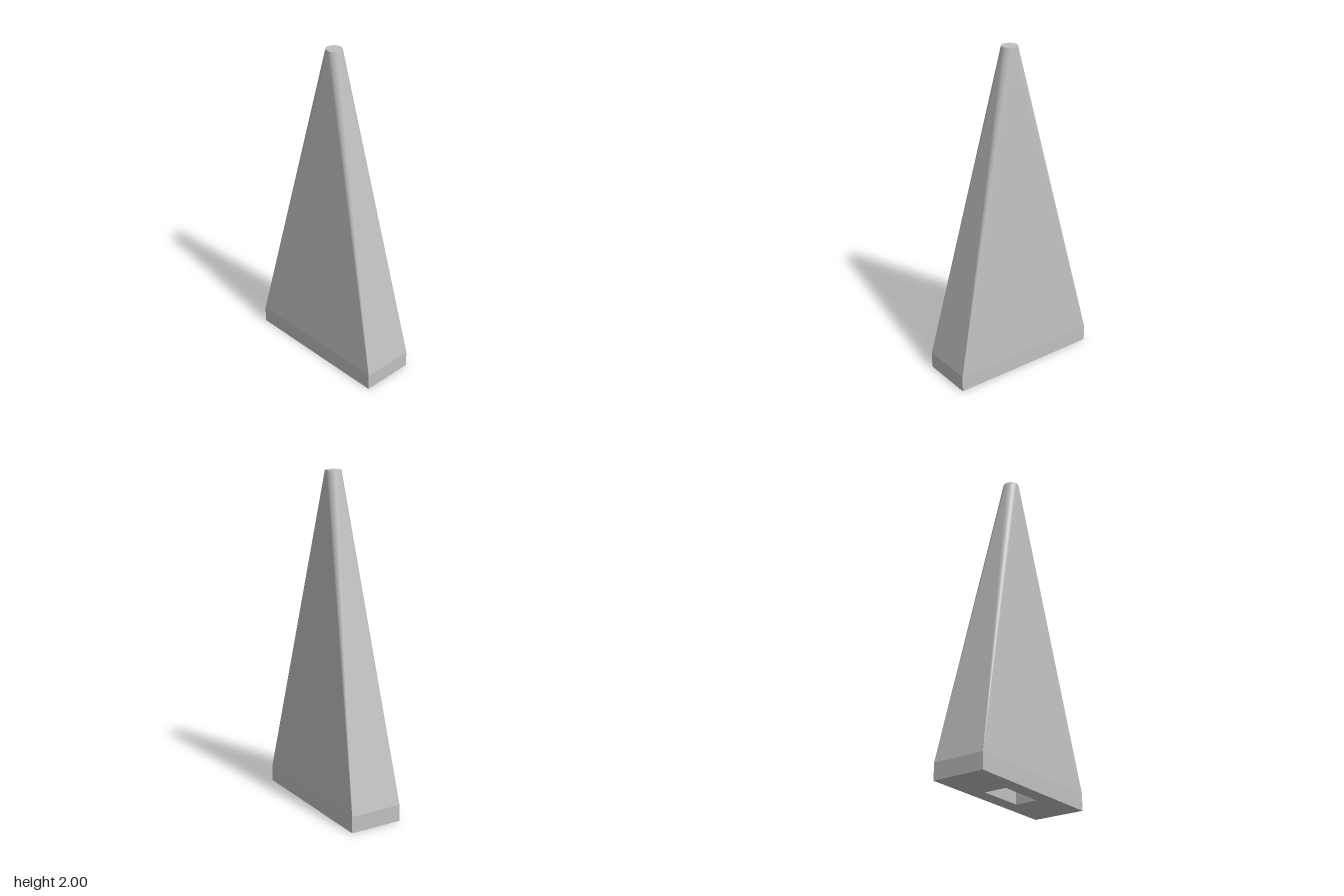
import * as THREE from 'three';

const W = 0.47, D = 0.163, BASE = 0.1, TOP = 2, R = 0.047;
const HOLE_W = 0.145, HOLE_D = 0.07, HOLE_H = 0.35;

// Rectangle outline, optionally as a hole path
function rect(path, w, d) {
  path.moveTo(-w, -d);
  path.lineTo(w, -d);
  path.lineTo(w, d);
  path.lineTo(-w, d);
  path.closePath();
  return path;
}

// Rectangle-to-circle loft: four flat triangles joined by four conical corners
function taperGeometry(steps = 16) {
  const pos = [], nor = [];
  const rim = a => new THREE.Vector3(R * Math.cos(a), TOP, R * Math.sin(a));
  const normalAt = (a, corner) => {
    const tangent = new THREE.Vector3(-Math.sin(a), 0, Math.cos(a));
    return rim(a).sub(corner).cross(tangent).normalize();
  };
  const tri = (points, normals) => {
    points.forEach(p => pos.push(p.x, p.y, p.z));
    normals.forEach(n => nor.push(n.x, n.y, n.z));
  };
  const corners = [[1, 1], [-1, 1], [-1, -1], [1, -1]]
    .map(([x, z]) => new THREE.Vector3(x * W, BASE, z * D));
  corners.forEach((c, i) => {
    const start = i * Math.PI / 2, end = start + Math.PI / 2;
    for (let k = 0; k < steps; k++) {
      const a = start + (end - start) * k / steps;
      const b = start + (end - start) * (k + 1) / steps;
      tri([c, rim(a), rim(b)], [normalAt((a + b) / 2, c), normalAt(a, c), normalAt(b, c)]);
    }
    const n = normalAt(end, c);
    tri([c, rim(end), corners[(i + 1) % 4]], [n, n, n]);
  });
  const g = new THREE.BufferGeometry();
  g.setAttribute('position', new THREE.Float32BufferAttribute(pos, 3));
  g.setAttribute('normal', new THREE.Float32BufferAttribute(nor, 3));
  return g;
}

export function createModel() {
  const group = new THREE.Group();
  const grey = new THREE.MeshStandardMaterial({ color: 0xc0c0c0 });
  grey.name = 'light grey';
  const add = (name, geometry) => {
    const mesh = new THREE.Mesh(geometry, grey);
    mesh.name = name;
    group.add(mesh);
    return mesh;
  };

  // Straight walls of the foot
  const foot = new THREE.BoxGeometry(2 * W, BASE, 2 * D).toNonIndexed();
  const keepWalls = (g, inward) => {
    // Drop the bottom face (and the top one for the foot), keeping the rest
    const p = g.attributes.position.array, n = g.attributes.normal.array;
    const pos = [], nor = [];
    for (let i = 0; i < p.length; i += 9) {
      if (n[i + 1] < -0.5 || (!inward && n[i + 1] > 0.5)) continue;
      for (const v of inward ? [0, 2, 1] : [0, 1, 2]) {
        for (let k = 0; k < 3; k++) {
          pos.push(p[i + v * 3 + k]);
          nor.push(n[i + v * 3 + k] * (inward ? -1 : 1));
        }
      }
    }
    const out = new THREE.BufferGeometry();
    out.setAttribute('position', new THREE.Float32BufferAttribute(pos, 3));
    out.setAttribute('normal', new THREE.Float32BufferAttribute(nor, 3));
    return out;
  };
  add('footWalls', keepWalls(foot, false)).position.y = BASE / 2;

  // Underside with the socket opening
  const under = rect(new THREE.Shape(), W, D);
  under.holes.push(rect(new THREE.Path(), HOLE_W, HOLE_D));
  add('underside', new THREE.ShapeGeometry(under).rotateX(Math.PI / 2));

  // Socket walls and ceiling, facing inward
  const socket = new THREE.BoxGeometry(2 * HOLE_W, HOLE_H, 2 * HOLE_D).toNonIndexed();
  add('socket', keepWalls(socket, true)).position.y = HOLE_H / 2;

  // Tapered body and its round tip
  add('taperedBody', taperGeometry());
  add('tip', new THREE.CircleGeometry(R, 64).rotateX(-Math.PI / 2)).position.y = TOP;

  return group;
}
